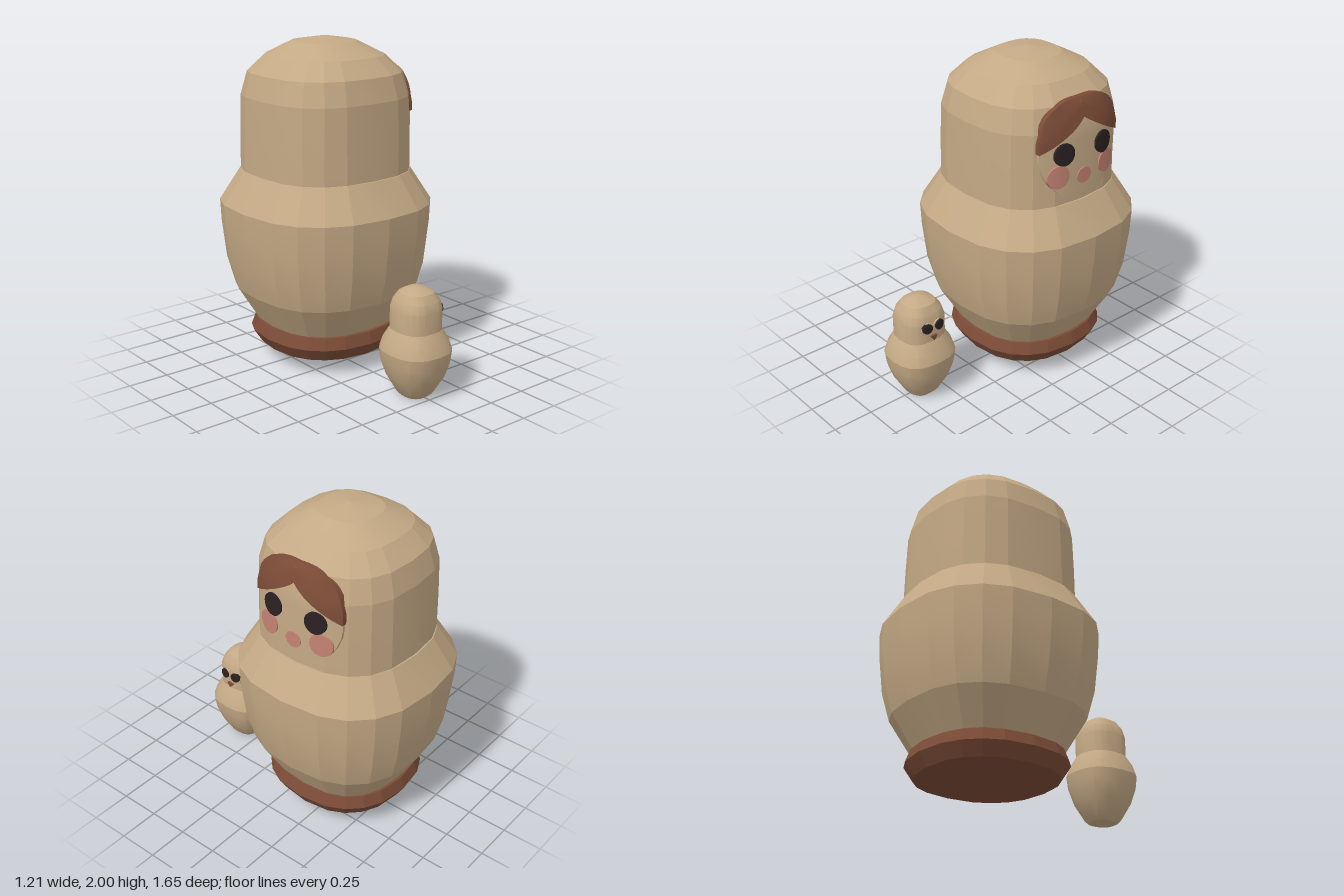
import * as THREE from 'three';
import { toCreasedNormals } from 'three/addons/utils/BufferGeometryUtils.js';

const mat = (name, color) => {
  const m = new THREE.MeshStandardMaterial({ color });
  m.name = name;
  return m;
};

// Uneven corner angles of one quarter of the rounded-square section (degrees)
const QUARTER = [0, 23, 38, 52, 67];
const angleAt = (k) => ((QUARTER[k % 5] + 90 * Math.floor(k / 5)) * Math.PI) / 180;

// Turned shape with a rounded-square section; profile is [radius, y] from bottom to top
function turned(profile, power, crease) {
  const g = new THREE.LatheGeometry(profile.map(([r, y]) => new THREE.Vector2(r, y)), 20);
  const p = g.attributes.position;
  const n = profile.length;
  for (let i = 0; i < p.count; i++) {
    const a = angleAt(Math.floor(i / n) % 20);
    const s = Math.sin(a), c = Math.cos(a);
    const r = profile[i % n][0] / Math.pow(Math.abs(s) ** power + Math.abs(c) ** power, 1 / power);
    p.setX(i, r * s);
    p.setZ(i, r * c);
  }
  return toCreasedNormals(g, crease);
}

// Head radius at a height
function radiusAt(profile, y) {
  for (let i = 1; i < profile.length; i++) {
    const [r0, y0] = profile[i - 1], [r1, y1] = profile[i];
    if (y <= y1 && y1 > y0) return r0 + ((r1 - r0) * (y - y0)) / (y1 - y0);
  }
  return 0;
}

// Thin plate draped on the +x side of a head; map(u, v) gives [sideways, y]
function draped(head, power, map, raise, nx = 12, ny = 10) {
  const g = new THREE.BoxGeometry(2, 1, 1, nx, ny, 1);
  const p = g.attributes.position;
  for (let i = 0; i < p.count; i++) {
    const [s, y] = map(p.getX(i), p.getY(i) + 0.5);
    const r = radiusAt(head, y);
    const x = r * Math.pow(Math.max(0, 1 - Math.abs(s / r) ** power), 1 / power);
    p.setXYZ(i, x + (p.getZ(i) > 0 ? raise : -0.02), y, -s);
  }
  return toCreasedNormals(g, 0.5);
}

const disc = (s, y, rs, ry = rs) => (u, v) =>
  [s + u * rs * Math.sin(Math.PI * v), y - ry * Math.cos(Math.PI * v)];

export function createModel() {
  const wood = mat('paleWood', 0xc4a985);
  const brown = mat('brown', 0x7c4c37);
  const dark = mat('darkEye', 0x2b2121);
  const pink = mat('pink', 0xc48272);

  const root = new THREE.Group();
  root.name = 'nestingDolls';
  const add = (group, name, geo, material) => {
    const m = new THREE.Mesh(geo, material);
    m.name = name;
    group.add(m);
    return m;
  };

  // Large doll
  const big = new THREE.Group();
  big.name = 'largeDoll';
  big.position.z = -0.217;
  root.add(big);

  const bigHead = [[0.475, 1.16], [0.472, 1.42], [0.465, 1.65], [0.428, 1.79],
    [0.33, 1.89], [0.18, 1.97], [0, 2]];
  add(big, 'base', turned([[0, 0.1], [0.4, 0.1], [0.45, 0.18], [0.425, 0.25], [0, 0.27]], 2.3, 0.2), brown);
  add(big, 'body', turned([[0, 0.25], [0.41, 0.255], [0.53, 0.46], [0.575, 0.63], [0.6, 0.86],
    [0.606, 1.0], [0.485, 1.2], [0, 1.2]], 2.5, 0.2), wood);
  add(big, 'head', turned(bigHead, 2.65, 0.2), wood);

  // Face, hair and features
  add(big, 'face', draped(bigHead, 2.65, disc(0, 1.515, 0.295), 0.012, 16, 14), wood);
  const hair = (u, v) => {
    const t = Math.abs(u);
    const low = 1.71 - 0.17 * t ** 0.85;
    const high = 1.6 + 0.215 * Math.sqrt(1 - t ** 3);
    return [u * 0.3, low + (high - low) * v];
  };
  add(big, 'hair', draped(bigHead, 2.65, hair, 0.027, 24, 4), brown);
  for (const side of [-1, 1]) {
    add(big, 'eye', draped(bigHead, 2.65, disc(side * 0.149, 1.518, 0.067), 0.026), dark);
    add(big, 'cheek', draped(bigHead, 2.65, disc(side * 0.185, 1.387, 0.07), 0.021), pink);
  }
  add(big, 'mouth', draped(bigHead, 2.65, disc(0, 1.355, 0.053, 0.048), 0.018), pink);

  // Small doll
  const small = new THREE.Group();
  small.name = 'smallDoll';
  small.position.z = 0.625;
  small.scale.z = 1.05;
  root.add(small);

  const smallHead = [[0.136, 0.39], [0.136, 0.535], [0.122, 0.585], [0.092, 0.63],
    [0.05, 0.655], [0, 0.666]];
  add(small, 'smallBody', turned([[0, 0], [0.08, 0], [0.1, 0.02], [0.155, 0.12], [0.184, 0.21],
    [0.193, 0.285], [0.175, 0.345], [0.138, 0.41], [0, 0.42]], 2.5, 0.4), wood);
  add(small, 'smallHead', turned(smallHead, 2.65, 0.4), wood);
  for (const side of [-1, 1]) {
    add(small, 'eyeSurround', draped(smallHead, 2.65, disc(side * 0.035, 0.5, 0.04, 0.046), 0.007), wood);
    add(small, 'smallEye', draped(smallHead, 2.65, disc(side * 0.041, 0.513, 0.031), 0.016), dark);
  }
  const beak = (u, v) => [u * 0.02 * Math.min(1, v * 1.4), 0.422 + 0.034 * v];
  add(small, 'beak', draped(smallHead, 2.65, beak, 0.014, 4, 4), brown);

  return root;
}
